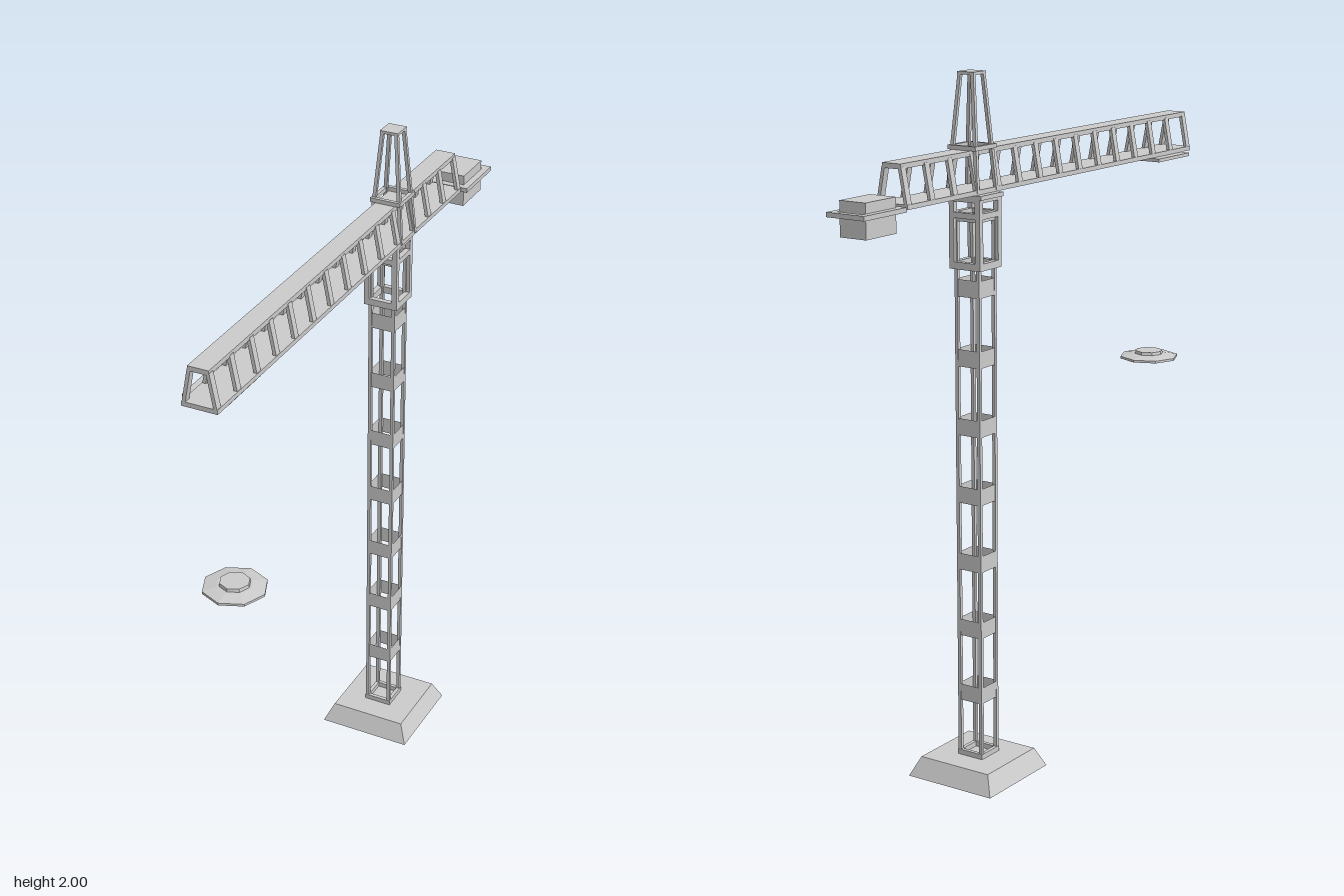
import * as THREE from 'three';

const mat = new THREE.MeshStandardMaterial({ color: 0xcccccc, flatShading: true });
const thin = new THREE.MeshStandardMaterial({ color: 0xcccccc, flatShading: true, side: THREE.DoubleSide });
const MAST_Z = -0.275, JIB_X = 0.013;

function add(parent, name, geometry, x = 0, y = 0, z = 0, material = mat) {
  const mesh = new THREE.Mesh(geometry, material);
  mesh.name = name;
  mesh.position.set(x, y, z);
  parent.add(mesh);
  return mesh;
}

function group(parent, name, x = 0, y = 0, z = 0) {
  const g = new THREE.Group();
  g.name = name;
  g.position.set(x, y, z);
  parent.add(g);
  return g;
}

const box = (w, h, d) => new THREE.BoxGeometry(w, h, d);

// Four-sided tapered block, given half widths at the bottom and top
function frustum(bottom, top, height, open = false) {
  return new THREE.CylinderGeometry(top * Math.SQRT2, bottom * Math.SQRT2, height, 4, 1, open).rotateY(Math.PI / 4);
}

// Sheared bar whose ends stay level: section w x d, from point a to point b
function bar(parent, name, a, b, w, d) {
  const g = box(w, 1, d), p = g.attributes.position;
  for (let i = 0; i < p.count; i++) {
    const t = p.getY(i) + 0.5;
    p.setXYZ(i, p.getX(i) + a[0] + (b[0] - a[0]) * t, a[1] + (b[1] - a[1]) * t, p.getZ(i) + a[2] + (b[2] - a[2]) * t);
  }
  g.computeVertexNormals();
  return add(parent, name, g);
}

// Rectangular ring lying flat
function ring(parent, name, halfX, halfZ, t, h, y, z = 0) {
  const s = new THREE.Shape([[-1, -1], [1, -1], [1, 1], [-1, 1]].map(([u, v]) => new THREE.Vector2(u * halfX, v * halfZ)));
  s.holes.push(new THREE.Path([[-1, -1], [-1, 1], [1, 1], [1, -1]].map(([u, v]) => new THREE.Vector2(u * (halfX - t), v * (halfZ - t)))));
  const g = new THREE.ExtrudeGeometry(s, { depth: h, bevelEnabled: false }).rotateX(-Math.PI / 2);
  return add(parent, name, g, 0, y, z);
}

// Four corner bars, leaning from one half width to another
function legs(parent, name, x0, z0, y0, x1, z1, y1, t) {
  for (const sx of [-1, 1]) for (const sz of [-1, 1])
    bar(parent, name, [sx * x0, y0, sz * z0], [sx * x1, y1, sz * z1], t, t);
}

export function createModel() {
  const crane = new THREE.Group();
  crane.name = 'towerCrane';

  // Foundation
  add(crane, 'foundation', frustum(0.142, 0.116, 0.056), 0, 0.028, -0.278);

  // Mast with sheet bands
  const mast = group(crane, 'mast', 0, 0, MAST_Z);
  legs(mast, 'mastPost', 0.036, 0.036, 0.055, 0.036, 0.036, 1.61, 0.01);
  ring(mast, 'mastFoot', 0.042, 0.042, 0.011, 0.016, 0.055);
  for (let i = 0; i < 7; i++)
    add(mast, 'mastBand', frustum(0.04, 0.04, 0.048, true), 0, 0.247 + i * 0.195, 0, thin);
  ring(mast, 'mastHead', 0.041, 0.041, 0.01, 0.014, 1.6);

  // Climbing cage and turntable
  const cage = group(crane, 'climbingCage', 0, 0, MAST_Z);
  legs(cage, 'cagePost', 0.043, 0.043, 1.47, 0.043, 0.043, 1.665, 0.016);
  ring(cage, 'cageLowerRing', 0.051, 0.051, 0.016, 0.02, 1.47);
  ring(cage, 'cageUpperRing', 0.051, 0.051, 0.016, 0.016, 1.61);
  ring(cage, 'cageTopRing', 0.051, 0.051, 0.016, 0.01, 1.655);
  add(cage, 'turntable', box(0.11, 0.012, 0.105), -0.002, 1.67, 0);

  // Jib: wide floor, narrow top plate and leaning struts
  const jib = group(crane, 'jib', JIB_X);
  add(jib, 'jibFloor', box(0.102, 0.013, 1.434), 0, 1.6825, 0.092);
  add(jib, 'jibTopPlate', box(0.06, 0.014, 1.434), 0, 1.786, 0.092);
  for (let i = 0; i < 15; i++)
    for (const s of [-1, 1]) {
      const z = 0.799 - i * 0.101;
      bar(jib, 'jibStrut', [s * 0.045, 1.686, z], [s * 0.026, 1.785, z], 0.01, 0.02);
    }

  // Tower peak straddling the jib
  const peak = group(crane, 'towerPeak', JIB_X, 0, -0.27);
  legs(peak, 'peakLeg', 0.048, 0.044, 1.68, 0.021, 0.023, 1.995, 0.01);
  ring(peak, 'peakRing', 0.046, 0.049, 0.011, 0.012, 1.793);
  add(peak, 'peakCap', box(0.054, 0.008, 0.056), 0, 1.996, 0);

  // Counterweight in its frame at the rear
  const rear = group(crane, 'counterJib', 0.018);
  ring(rear, 'counterFrame', 0.061, 0.0875, 0.02, 0.013, 1.672, -0.7225);
  add(rear, 'counterweight', box(0.084, 0.095, 0.125), 0, 1.6655, -0.7175);

  // Trolley under the jib
  add(crane, 'trolley', box(0.122, 0.01, 0.178), -0.005, 1.671, 0.668);

  // Hook block
  const hook = group(crane, 'hookBlock', 0.003, 0, 0.648);
  add(hook, 'hookRim', new THREE.CylinderGeometry(0.09, 0.09, 0.007, 8), 0, 1.0505);
  add(hook, 'hookPlate', new THREE.CylinderGeometry(0.05, 0.09, 0.007, 8), 0, 1.0575);
  add(hook, 'hookBoss', new THREE.CylinderGeometry(0.042, 0.044, 0.01, 8), 0, 1.065);

  return crane;
}
